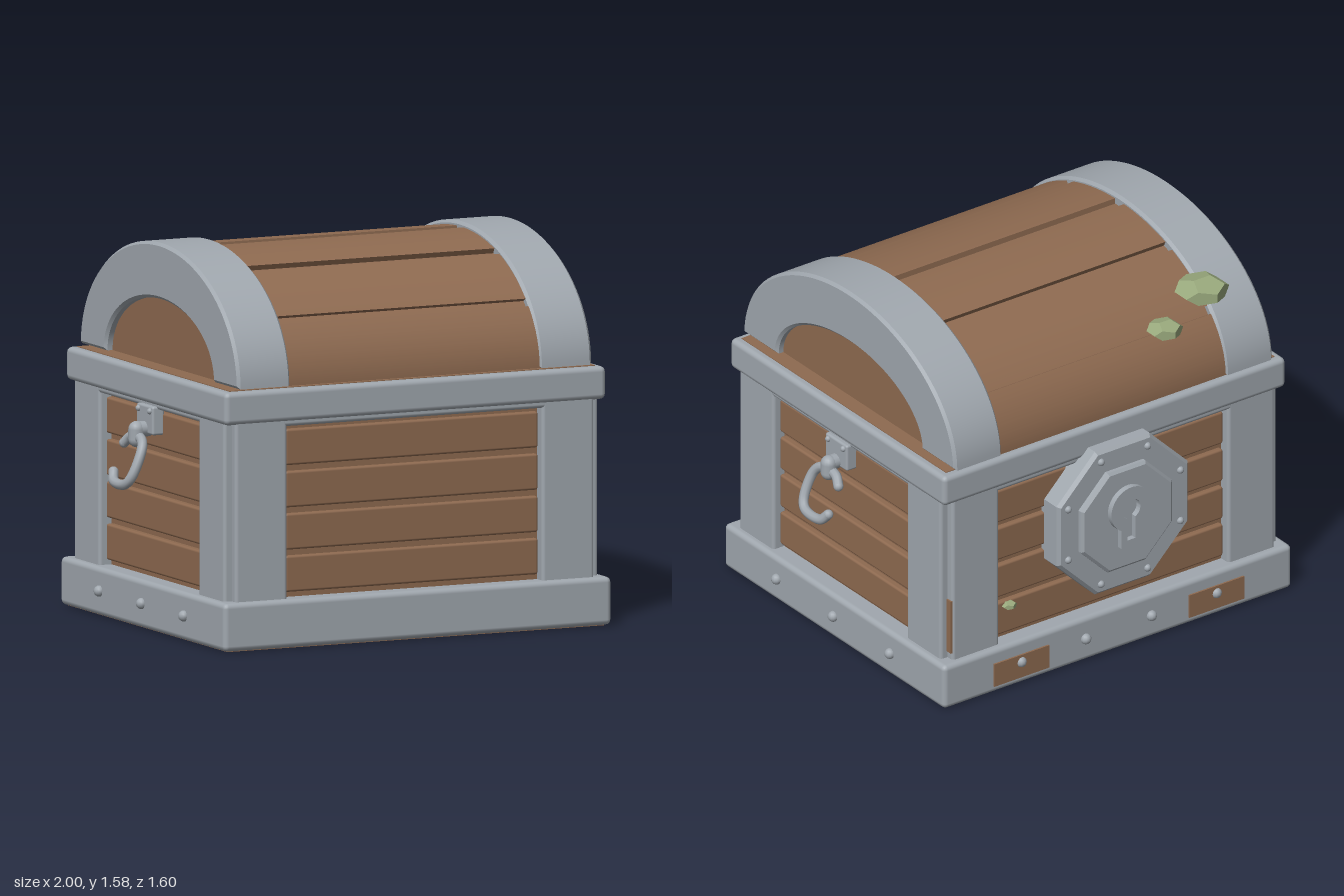
import * as THREE from 'three';
import { toCreasedNormals } from 'three/addons/utils/BufferGeometryUtils.js';
import { RoundedBoxGeometry } from 'three/addons/geometries/RoundedBoxGeometry.js';

const mat = (name, color) => {
  const m = new THREE.MeshStandardMaterial({ color });
  m.name = name;
  return m;
};

export function createModel() {
  const iron = mat('iron grey', 0xa0a7ae);
  const wood = mat('warm wood', 0x8e6a50);
  const moss = mat('moss green', 0x98a87c);

  const model = new THREE.Group();
  model.name = 'treasureChest';
  const chest = new THREE.Group();
  chest.name = 'chest';
  chest.position.z = 0.045; // leaves room for the lock at the back
  model.add(chest);

  const add = (name, geo, material, parent = chest) => {
    const mesh = new THREE.Mesh(geo, material);
    mesh.name = name;
    parent.add(mesh);
    return mesh;
  };
  // box given by its limits, with softened edges when r > 0
  const box = (name, material, x0, x1, y0, y1, z0, z1, r = 0.015, parent = chest) => {
    const [w, h, d] = [x1 - x0, y1 - y0, z1 - z0];
    const geo = r ? new RoundedBoxGeometry(w, h, d, 2, r) : new THREE.BoxGeometry(w, h, d);
    const mesh = add(name, geo, material, parent);
    mesh.position.set((x0 + x1) / 2, (y0 + y1) / 2, (z0 + z1) / 2);
    return mesh;
  };
  // box mirrored by sign along x and z
  const mirrored = (name, material, sx, sz, x0, x1, y0, y1, z0, z1, r) => {
    const m = box(name, material, x0, x1, y0, y1, z0, z1, r);
    m.position.x *= sx;
    m.position.z *= sz;
  };
  const rivet = (x, y, z, r = 0.023, parent = chest) =>
    add('rivet', new THREE.SphereGeometry(r, 12, 8), iron, parent).position.set(x, y, z);

  // Body, base and rim
  box('bodyCore', wood, -0.79, 0.79, 0.1, 1, -0.675, 0.675, 0);
  box('floor', wood, -0.85, 0.85, 0, 0.05, -0.73, 0.73, 0);
  box('base', iron, -0.875, 0.875, 0.003, 0.2, -0.755, 0.755, 0.022);
  box('rim', iron, -0.86, 0.86, 0.925, 1.06, -0.735, 0.735, 0.022);
  box('rimTop', wood, -0.825, 0.825, 1.0, 1.063, -0.7, 0.7, 0);

  // Corner posts, headers and planks on all four walls
  for (const s of [-1, 1]) {
    for (const t of [-1, 1]) {
      mirrored('endPost', iron, s, t, 0.575, 0.81, 0.15, 0.98, 0.58, 0.725);
      mirrored('sidePost', iron, s, t, 0.68, 0.845, 0.15, 0.98, 0.455, 0.69);
    }
    mirrored('endHeader', iron, 1, s, -0.6, 0.6, 0.905, 0.98, 0.6, 0.725);
    mirrored('sideHeader', iron, s, 1, 0.7, 0.845, 0.905, 0.98, -0.48, 0.48);
    for (let i = 0; i < 4; i++) {
      const y = 0.222 + i * 0.173;
      mirrored('endPlank', wood, 1, s, -0.57, 0.57, y, y + 0.148, 0.64, 0.697, 0.01);
      mirrored('sidePlank', wood, s, 1, 0.76, 0.817, y, y + 0.148, -0.45, 0.45, 0.01);
    }
  }
  box('cornerSliver', wood, 0.8, 0.816, 0.23, 0.47, -0.72, -0.69, 0);

  // Lid: extrude a side profile along x
  const alongX = (shape, x0, x1, bevel = 0) => {
    const geo = new THREE.ExtrudeGeometry(shape, {
      depth: x1 - x0 - 2 * bevel, curveSegments: 28, bevelEnabled: bevel > 0,
      bevelSize: bevel, bevelThickness: bevel, bevelOffset: -bevel, bevelSegments: 1,
    });
    geo.rotateY(Math.PI / 2).translate(x0 + bevel, 1.07, 0);
    return toCreasedNormals(geo, 0.5);
  };
  const arch = (a, b, ai, bi, t0 = 0, t1 = Math.PI) => {
    const s = new THREE.Shape();
    s.moveTo(a * Math.cos(t0), b * Math.sin(t0));
    s.absellipse(0, 0, a, b, t0, t1, false);
    s.lineTo(ai * Math.cos(t1), bi * Math.sin(t1));
    s.absellipse(0, 0, ai, bi, t1, t0, true);
    s.closePath();
    return s;
  };
  const core = new THREE.Shape();
  core.moveTo(0.7, 0);
  core.absellipse(0, 0, 0.7, 0.462, 0, Math.PI, false);
  core.closePath();
  add('lidCore', alongX(core, -0.765, 0.765), wood);
  const band = arch(0.727, 0.505, 0.495, 0.275);
  add('lidBandRight', alongX(band, -0.8, -0.56, 0.012), iron);
  add('lidBandLeft', alongX(band, 0.56, 0.8, 0.012), iron);
  for (const [z0, z1] of [[0.03, 0.315], [0.36, 0.6], [0.625, 0.72]]) {
    const t0 = Math.acos(z1 / 0.72), t1 = Math.acos(z0 / 0.72);
    const plank = (a, b) => add('lidPlank', alongX(arch(0.72, 0.486, 0.67, 0.436, a, b), -0.6, 0.6, 0.006), wood);
    plank(t0, t1);
    plank(Math.PI - t1, Math.PI - t0);
  }

  // Swinging side handles
  for (const s of [-1, 1]) {
    const handle = new THREE.Group();
    handle.name = s > 0 ? 'leftHandle' : 'rightHandle';
    chest.add(handle);
    const plate = box('handlePlate', iron, 0.81, 0.865, 0.8, 0.918, -0.075, 0.075, 0.01, handle);
    plate.position.x *= s;
    for (const z of [-0.052, 0.052]) rivet(s * 0.865, 0.898, z, 0.013, handle);
    const knob = add('handleKnob', new THREE.CapsuleGeometry(0.034, 0.04, 6, 14), iron, handle);
    knob.position.set(s * 0.9, 0.8, 0);
    const stub = add('handleStub', new THREE.CylinderGeometry(0.032, 0.032, 0.06, 14), iron, handle);
    stub.rotation.z = Math.PI / 2;
    stub.position.set(s * 0.873, 0.82, 0);
    const pts = [[-0.085, 0.755], [-0.05, 0.785], [0.045, 0.785], [0.082, 0.75], [0.085, 0.64],
      [0.055, 0.607], [-0.05, 0.607], [-0.083, 0.64]]
      .map(([z, y]) => new THREE.Vector3(s * (0.895 + (0.8 - y) * 0.43), y, z));
    add('handleRing', new THREE.TubeGeometry(new THREE.CatmullRomCurve3(pts), 48, 0.021, 10), iron, handle);
    for (const p of [pts[0], pts[7]]) rivet(p.x, p.y, p.z, 0.021, handle);
    for (const z of [-0.388, 0, 0.388]) rivet(s * 0.878, 0.105, z); // base rivets
  }

  // Patches and rivets along the back of the base
  for (const x of [-0.49, 0.49]) box('backPatch', wood, x - 0.138, x + 0.138, 0.035, 0.138, -0.763, -0.754, 0);
  for (const x of [-0.49, -0.165, 0.165, 0.49]) rivet(x, 0.105, -0.758);

  // Octagonal lock on the back
  const lock = new THREE.Group();
  lock.name = 'lock';
  lock.position.y = 0.64;
  chest.add(lock);
  const octagon = (name, rOut, rIn, z, depth) => {
    const geo = new THREE.CylinderGeometry(rOut, rIn, depth, 8, 1, false, Math.PI / 8);
    geo.rotateX(-Math.PI / 2).translate(0, 0, z - depth / 2);
    add(name, toCreasedNormals(geo, 0.4), iron, lock);
  };
  octagon('lockPlate', 0.357, 0.357, -0.68, 0.1);
  octagon('lockPlateBevel', 0.342, 0.357, -0.78, 0.015);
  octagon('lockBoss', 0.248, 0.248, -0.78, 0.03);
  octagon('lockBossBevel', 0.235, 0.248, -0.81, 0.01);
  for (let i = 0; i < 8; i++) {
    const a = (i + 0.5) * Math.PI / 4;
    rivet(0.305 * Math.cos(a), 0.305 * Math.sin(a), -0.795, 0.016, lock);
  }
  const keyhole = (Type, r, w, bottom) => {
    const s = new Type(), a = Math.asin(w / r);
    s.moveTo(-w, bottom);
    s.lineTo(w, bottom);
    s.absarc(0, 0.05, r, -Math.PI / 2 + a, 1.5 * Math.PI - a, false);
    s.closePath();
    return s;
  };
  const plate = keyhole(THREE.Shape, 0.1, 0.05, -0.12);
  plate.holes.push(keyhole(THREE.Path, 0.045, 0.02, -0.09));
  const plateGeo = new THREE.ExtrudeGeometry(plate, { depth: 0.05, bevelEnabled: false, curveSegments: 20 });
  plateGeo.rotateY(Math.PI).translate(0, 0, -0.795);
  add('keyholePlate', toCreasedNormals(plateGeo, 0.5), iron, lock);

  // Moss clumps
  for (const [x, y, z, r, h] of [[-0.53, 1.43, -0.605, 0.115, 0.052], [-0.3, 1.345, -0.665, 0.077, 0.038],
    [0.51, 0.35, -0.7, 0.035, 0.018]]) {
    const clump = add('mossClump', new THREE.DodecahedronGeometry(1, 0), moss);
    clump.scale.set(r, h, r);
    clump.position.set(x, y, z);
  }
  return model;
}
